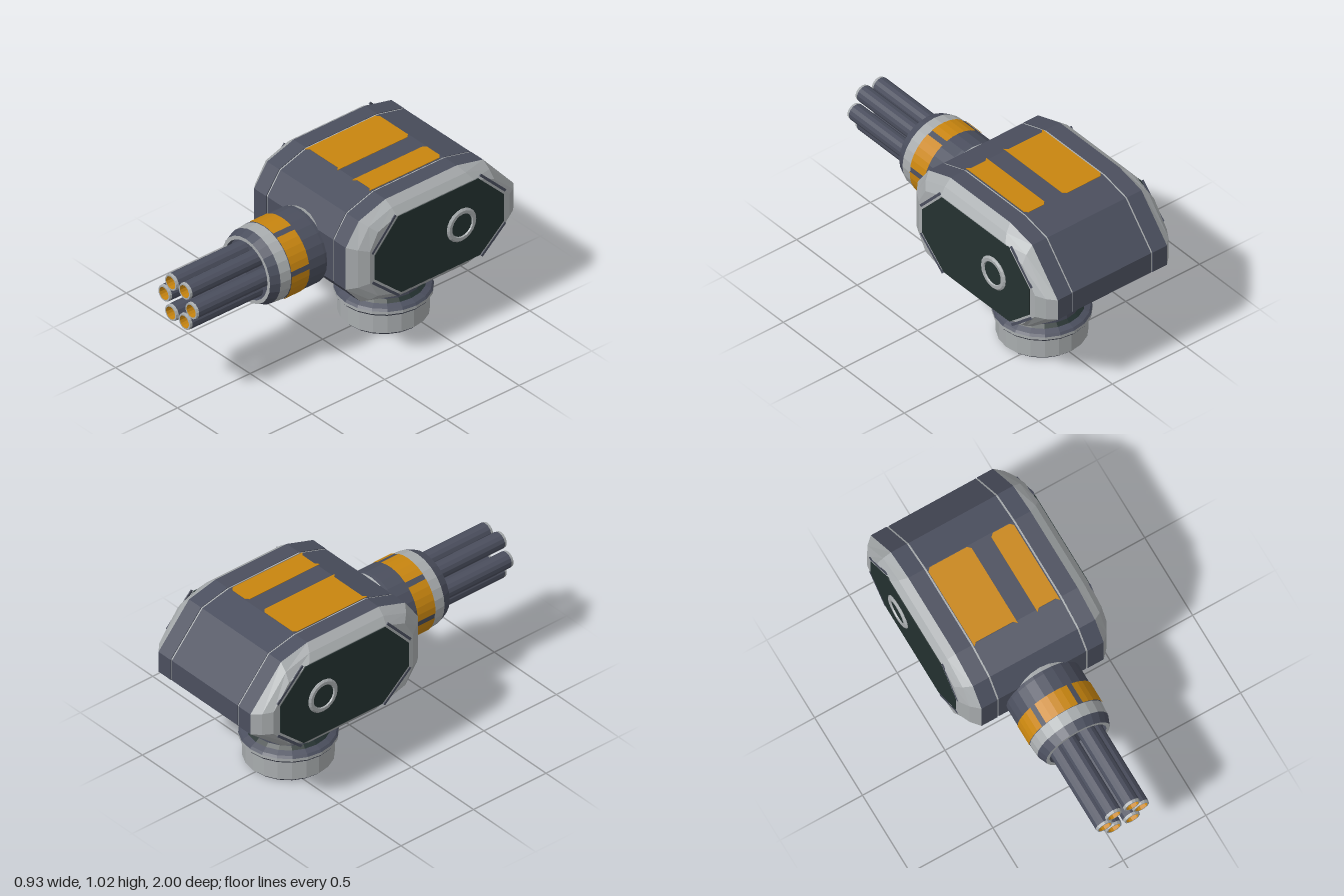
import * as THREE from 'three';

const paint = (name, color) => {
  const m = new THREE.MeshStandardMaterial({ color });
  m.name = name;
  return m;
};

export function createModel() {
  const model = new THREE.Group();
  model.name = 'turret';
  const slate = paint('slate', 0x4b4f5e);
  const light = paint('light grey', 0xa8acae);
  const orange = paint('orange', 0xc8850f);
  const dark = paint('dark green', 0x243130);

  // Faceted mesh
  function add(parent, name, geometry, material) {
    const g = geometry.index ? geometry.toNonIndexed() : geometry;
    g.computeVertexNormals();
    const mesh = new THREE.Mesh(g, material);
    mesh.name = name;
    parent.add(mesh);
    return mesh;
  }

  // Turned part from [radius, height] points
  const turn = (parent, name, material, pts, sides = 20) =>
    add(parent, name, new THREE.LatheGeometry(pts.map(p => new THREE.Vector2(...p)), sides), material);

  // Closed loft along x; each section is { x, pts: [z, y] }
  function loft(parent, name, material, sections) {
    const secs = [...sections].sort((a, b) => a.x - b.x);
    const n = secs[0].pts.length, pos = [], idx = [];
    for (const s of secs) for (const [z, y] of s.pts) pos.push(s.x, y, z);
    for (let k = 0; k < secs.length - 1; k++)
      for (let i = 0; i < n; i++) {
        const a = k * n + i, b = k * n + (i + 1) % n, c = a + n, d = b + n;
        idx.push(a, c, b, b, c, d);
      }
    const last = (secs.length - 1) * n;
    for (let i = 1; i < n - 1; i++) {
      idx.push(0, i, i + 1);
      idx.push(last, last + i + 1, last + i);
    }
    const g = new THREE.BufferGeometry();
    g.setAttribute('position', new THREE.Float32BufferAttribute(pos, 3));
    g.setIndex(idx);
    return add(parent, name, g, material);
  }
  const slab = (parent, name, material, pts, x0, x1) =>
    loft(parent, name, material, [{ x: x0, pts }, { x: x1, pts }]);

  // Housing outlines in [z, y]
  const outer = [[0.157, 0.83], [0.067, 0.96], [-0.115, 1.02], [-0.607, 1.02], [-0.789, 0.978], [-1, 0.738],
    [-1, 0.61], [-0.79, 0.44], [-0.61, 0.378], [-0.19, 0.378], [0.056, 0.449], [0.157, 0.567]];
  const inner = [[0.055, 0.8], [0, 0.9], [-0.13, 0.947], [-0.66, 0.947], [-0.8, 0.89], [-0.905, 0.75],
    [-0.905, 0.61], [-0.8, 0.5], [-0.67, 0.453], [-0.16, 0.453], [0, 0.5], [0.055, 0.6]];
  const panel = [[0.025, 0.765], [-0.136, 0.942], [-0.69, 0.942], [-0.863, 0.77],
    [-0.863, 0.6], [-0.7, 0.457], [-0.157, 0.457], [0.025, 0.615]];
  const scaled = s => outer.map(([z, y]) => [-0.42 + (z + 0.42) * s, 0.7 + (y - 0.7) * s]);
  const middle = outer.map(([z, y], i) => [z + (inner[i][0] - z) * 0.45, y + (inner[i][1] - y) * 0.45]);

  // Housing centre and light seam core
  const housing = new THREE.Group();
  housing.name = 'housing';
  model.add(housing);
  slab(housing, 'centreShell', slate, scaled(0.997), -0.264, 0.264);
  slab(housing, 'seamCore', light, scaled(0.99), -0.28, 0.28);

  // Side shells, bevelled caps, panels, slits and hubs
  for (const s of [1, -1]) {
    const side = new THREE.Group();
    side.name = s > 0 ? 'leftSide' : 'rightSide';
    housing.add(side);
    slab(side, 'sideShell', slate, outer, s * 0.274, s * 0.37);
    loft(side, 'bevelCap', light, [{ x: s * 0.37, pts: outer }, { x: s * 0.415, pts: middle }, { x: s * 0.447, pts: inner }]);
    slab(side, 'sidePanel', dark, panel, s * 0.444, s * 0.451);
    for (const i of [0, 2, 4, 6]) {
      const [az, ay] = panel[i], [bz, by] = panel[i + 1];
      const len = Math.hypot(bz - az, by - ay);
      const nz = (by - ay) / len, ny = -(bz - az) / len;
      const at = (p, d) => [p[0] + nz * d, p[1] + ny * d];
      const [a, b] = [panel[i], panel[i + 1]];
      slab(side, 'cornerSlit', slate, [at(a, 0.013), at(a, 0.028), at(b, 0.028), at(b, 0.013)], s * 0.443, s * 0.449);
    }
    const hub = new THREE.Group();
    hub.name = 'sideHub';
    hub.position.set(s * 0.44, 0.703, -0.57);
    hub.rotation.z = -s * Math.PI / 2;
    side.add(hub);
    turn(hub, 'hubRing', light, [[0.1, 0], [0.1, 0.015], [0.09, 0.023], [0.072, 0.023], [0.068, 0.014]]);
    turn(hub, 'hubCentre', dark, [[0.07, 0.015], [0, 0.015]]);
  }

  // Orange plates on the roof, with clipped corners
  for (const [x0, x1] of [[-0.262, 0], [0.12, 0.257]]) {
    const c = 0.018, z0 = -0.602, z1 = -0.12;
    const shape = new THREE.Shape([[x0 + c, -z1], [x0, -z1 - c], [x0, -z0 - c], [x0 + c, -z0],
      [x1 - c, -z0], [x1, -z0 - c], [x1, -z1 - c], [x1 - c, -z1]].map(p => new THREE.Vector2(...p)));
    const plate = add(housing, 'roofPlate', new THREE.ExtrudeGeometry(shape, { depth: 0.005, bevelEnabled: false }), orange);
    plate.rotation.x = -Math.PI / 2;
    plate.position.y = 1.017;
  }

  // Pedestal
  const base = new THREE.Group();
  base.name = 'pedestal';
  base.position.z = -0.42;
  model.add(base);
  turn(base, 'baseUnderside', dark, [[0, 0], [0.225, 0]]);
  turn(base, 'baseChamfer', slate, [[0.225, 0], [0.244, 0.018]]);
  turn(base, 'baseDrum', light, [[0.244, 0.018], [0.244, 0.135]]);
  turn(base, 'flangeUnderside', slate, [[0.244, 0.135], [0.255, 0.135], [0.265, 0.148]]);
  turn(base, 'flangeBand', light, [[0.265, 0.148], [0.265, 0.165]]);
  turn(base, 'flangeTop', slate, [[0.265, 0.165], [0.255, 0.178], [0.225, 0.192]]);
  turn(base, 'flangeRecess', dark, [[0.225, 0.192], [0.204, 0.208]]);
  turn(base, 'neck', slate, [[0.204, 0.205], [0.195, 0.4]]);

  // Gun, turned about the z axis
  const gun = new THREE.Group();
  gun.name = 'gun';
  gun.position.y = 0.665;
  gun.rotation.x = Math.PI / 2;
  model.add(gun);
  turn(gun, 'shroudCollar', light, [[0.19, 0.07], [0.218, 0.15]], 24);
  turn(gun, 'shroud', slate, [[0.218, 0.15], [0.22, 0.17], [0.22, 0.404]], 24);
  turn(gun, 'shroudBand', light, [[0.22, 0.404], [0.215, 0.473]], 24);
  turn(gun, 'shroudNose', slate, [[0.215, 0.473], [0.193, 0.527]], 24);
  turn(gun, 'shroudRim', light, [[0.193, 0.527], [0.172, 0.527]], 24);
  turn(gun, 'shroudFace', slate, [[0.172, 0.527], [0.17, 0.5], [0, 0.5]], 24);

  // Six orange patches and six barrels around the axis
  for (let i = 0; i < 6; i++) {
    const start = THREE.MathUtils.degToRad(101 + i * 60);
    const patch = add(gun, 'shroudPatch', new THREE.CylinderGeometry(0.2235, 0.2235, 0.122, 5, 1, true,
      start, THREE.MathUtils.degToRad(52)), orange);
    patch.position.y = 0.342;

    const barrel = new THREE.Group();
    barrel.name = 'barrel';
    const a = i * Math.PI / 3;
    barrel.position.set(0.11 * Math.cos(a), 0, 0.11 * Math.sin(a));
    gun.add(barrel);
    turn(barrel, 'barrelTube', slate, [[0.049, 0.48], [0.049, 0.985]], 14);
    turn(barrel, 'muzzleRing', light, [[0.049, 0.985], [0.046, 1], [0.037, 1]], 14);
    turn(barrel, 'bore', orange, [[0.037, 1], [0.036, 0.95]], 14);
    turn(barrel, 'boreEnd', dark, [[0.036, 0.95], [0, 0.95]], 14);
  }
  return model;
}
